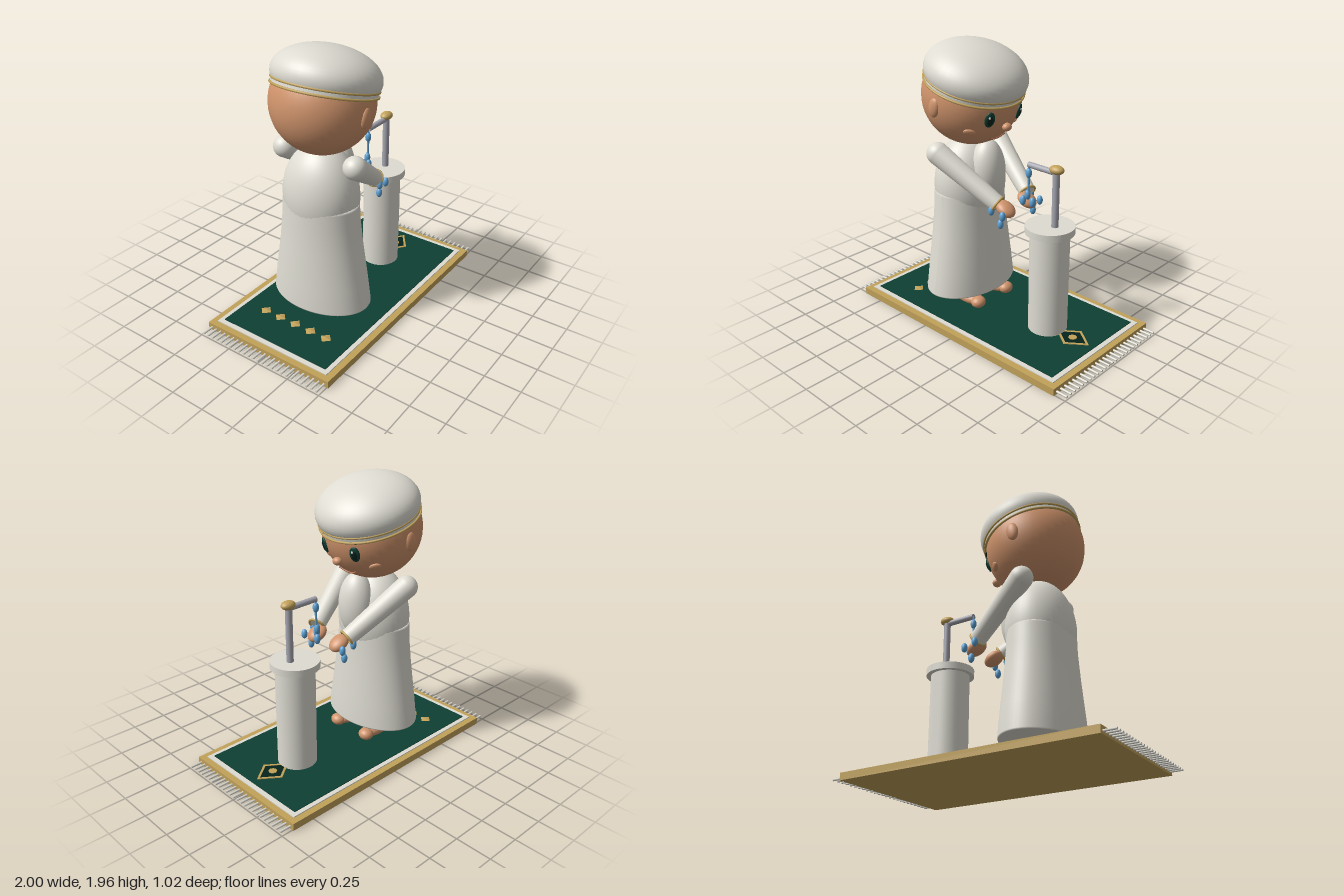
import * as THREE from 'three';

const mat = (name, color, side = THREE.FrontSide) => {
  const m = new THREE.MeshStandardMaterial({ color, side });
  m.name = name;
  return m;
};

export function createModel() {
  const root = new THREE.Group();
  root.name = 'washingScene';
  const cream = mat('cream', 0xdedcd2);
  const skin = mat('skin', 0xd0946c);
  const gold = mat('gold', 0xc2a25a);
  const green = mat('green', 0x0e4034);
  const dark = mat('darkGreen', 0x06231c);
  const steel = mat('steel', 0xa6a6b0);
  const water = mat('water', 0x5fa3d6);
  const lip = mat('lip', 0xb87550);

  const add = (name, geo, m, pos = [0, 0, 0], parent = root) => {
    const mesh = new THREE.Mesh(geo, m);
    mesh.name = name;
    mesh.position.set(...pos);
    parent.add(mesh);
    return mesh;
  };
  const ball = (name, m, pos, [rx, ry, rz], parent = root) => {
    const mesh = add(name, new THREE.SphereGeometry(1, 40, 28), m, pos, parent);
    mesh.scale.set(rx, ry, rz);
    return mesh;
  };
  const Y = new THREE.Vector3(0, 1, 0);
  // Tapered rod from a to b
  const rod = (name, m, a, b, ra, rb = ra, seg = 24) => {
    const p = new THREE.Vector3(...a), q = new THREE.Vector3(...b);
    const d = q.clone().sub(p);
    const mesh = add(name, new THREE.CylinderGeometry(rb, ra, d.length(), seg), m,
      p.clone().add(q).multiplyScalar(0.5).toArray());
    mesh.quaternion.setFromUnitVectors(Y, d.normalize());
    return mesh;
  };

  // Rug: base, border, field and tassels
  add('rugBase', new THREE.BoxGeometry(1.835, 0.05, 1.02), gold, [0, 0.03, 0]);
  add('rugBorder', new THREE.BoxGeometry(1.75, 0.008, 0.93), cream, [0, 0.058, 0]);
  add('rugField', new THREE.BoxGeometry(1.68, 0.008, 0.865), green, [0, 0.063, 0]);
  for (const s of [-1, 1]) for (let i = 0; i < 25; i++) {
    const z = -0.48 + i * 0.04;
    rod('tassel', cream, [s * 0.9, 0.025, z], [s, 0.025, z], 0.008, 0.008, 8);
  }

  // Rug ornaments: row of diamonds and a medallion
  for (let i = 0; i < 5; i++) {
    const d = add('rugDiamond', new THREE.OctahedronGeometry(1), gold, [-0.6, 0.068, -0.264 + i * 0.13]);
    d.scale.set(0.043, 0.008, 0.043);
  }
  const diamond = (rx, rz) => [[rx, 0], [0, rz], [-rx, 0], [0, -rz]].map(p => new THREE.Vector2(...p));
  const frame = new THREE.Shape(diamond(0.135, 0.1));
  frame.holes.push(new THREE.Path(diamond(0.11, 0.08)));
  const flat = (name, shape, m, y) => {
    const g = new THREE.ExtrudeGeometry(shape, { depth: 0.005, bevelEnabled: false });
    add(name, g.rotateX(-Math.PI / 2), m, [0.665, y, 0]);
  };
  flat('medallionFrame', frame, gold, 0.067);
  flat('medallionField', new THREE.Shape(diamond(0.115, 0.084)), dark, 0.065);
  add('medallionCentre', new THREE.CylinderGeometry(0.03, 0.03, 0.006, 8), gold, [0.665, 0.071, 0]);

  // Skirt: flared lathe, narrower from front to back than across
  const profile = [[0, 0.17], [0.365, 0.17], [0.37, 0.18], [0.345, 0.35], [0.305, 0.6],
    [0.28, 0.8], [0.275, 0.905], [0.268, 0.92], [0, 0.92]].map(p => new THREE.Vector2(...p));
  const skirt = new THREE.LatheGeometry(profile, 56);
  const sp = skirt.attributes.position;
  for (let i = 0; i < sp.count; i++) {
    sp.setX(i, sp.getX(i) * (0.69 + 0.11 * (sp.getY(i) - 0.17) / 0.75));
  }
  skirt.computeVertexNormals();
  add('skirt', skirt, cream, [-0.295, 0, 0]);
  ball('torso', cream, [-0.29, 0.95, 0], [0.23, 0.36, 0.27]);
  ball('chestPanel', cream, [-0.12, 1.07, 0], [0.12, 0.23, 0.13]);

  // Arms, hands, feet and drops falling from the hands
  for (const s of [-1, 1]) {
    const shoulder = [-0.31, 1.222, s * 0.282], wrist = [0.115, 0.935, s * 0.15];
    ball('shoulder', cream, shoulder, [0.078, 0.078, 0.078]);
    const sleeve = rod('sleeve', cream, shoulder, wrist, 0.078, 0.058, 32);
    const cuff = add('cuff', new THREE.TorusGeometry(0.057, 0.008, 10, 36).rotateX(Math.PI / 2), gold, wrist);
    cuff.quaternion.copy(sleeve.quaternion);
    const hand = ball('hand', skin, [0.15, 0.897, s * 0.108], [0.075, 0.042, 0.062]);
    hand.rotation.z = -0.5;
    ball('foot', skin, [-0.19, 0.11, s * 0.13], [0.13, 0.045, 0.065]);
    ball('toes', skin, [-0.08, 0.11, s * 0.145], [0.05, 0.042, 0.055]);
    for (const [x, y, z] of [[0.105, 0.9, 0.2], [0.195, 0.88, 0.19], [0.155, 0.805, 0.165]]) {
      ball('handDrop', water, [x, y, s * z], [0.021, 0.034, 0.021]);
    }
  }

  // Head with face
  const H = [-0.26, 1.592, 0], R = 0.343;
  ball('head', skin, H, [R, R, R]);
  // Point on the head for a given height and sideways offset
  const onHead = (y, z, lift = 0) => {
    const v = new THREE.Vector3(Math.sqrt(R * R - (y - H[1]) ** 2 - z * z), y - H[1], z);
    return v.setLength(R + lift).add(new THREE.Vector3(...H));
  };
  const X = new THREE.Vector3(1, 0, 0);
  const onFace = (name, m, y, z, size, lift = 0) => {
    const p = onHead(y, z, lift);
    const b = ball(name, m, p.toArray(), size);
    b.quaternion.setFromUnitVectors(X, p.sub(new THREE.Vector3(...H)).normalize());
  };
  for (const s of [-1, 1]) {
    onFace('eye', green, 1.497, s * 0.14, [0.015, 0.056, 0.036]);
    onFace('pupil', dark, 1.495, s * 0.14, [0.009, 0.036, 0.022], 0.009);
    onFace('eyeGlint', cream, 1.517, s * 0.14 + 0.008, [0.005, 0.009, 0.008], 0.015);
    onFace('eyebrow', dark, 1.578, s * 0.14, [0.01, 0.009, 0.042], 0.003);
    onFace('cheek', skin, 1.41, s * 0.22, [0.014, 0.028, 0.042], 0.003);
    const ear = ball('ear', skin, [-0.275, 1.56, s * 0.335], [0.044, 0.068, 0.026]);
    ear.rotation.z = -0.2;
  }
  ball('nose', skin, [0.06, 1.423, 0], [0.03, 0.028, 0.034]);
  const smile = [-2, -1, 0, 1, 2].map(i => onHead(1.322 + 0.0055 * i * i, i * 0.04, 0.002));
  add('mouth', new THREE.TubeGeometry(new THREE.CatmullRomCurve3(smile), 24, 0.007, 8), lip);

  // Cap, tilted towards the face
  const cap = new THREE.Group();
  cap.name = 'cap';
  cap.position.set(...H);
  cap.rotation.z = -0.28;
  root.add(cap);
  ball('capDome', cream, [0, 0.16, 0], [0.357, 0.2, 0.357], cap);
  add('capBand', new THREE.CylinderGeometry(0.343, 0.341, 0.04, 56), cream, [0, 0.093, 0], cap);
  for (const y of [0.075, 0.11]) {
    add('capTrim', new THREE.TorusGeometry(0.344, 0.008, 10, 64).rotateX(Math.PI / 2), gold, [0, y, 0], cap);
  }

  // Wash stand and tap
  rod('standColumn', cream, [0.445, 0.06, 0], [0.445, 0.79, 0], 0.135, 0.135, 48);
  rod('standTop', cream, [0.445, 0.787, 0], [0.445, 0.836, 0], 0.167, 0.167, 48);
  rod('tapPipe', steel, [0.485, 0.83, 0], [0.485, 1.22, 0], 0.024);
  rod('tapSpout', steel, [0.255, 1.21, 0], [0.485, 1.21, 0], 0.02);
  ball('tapKnob', gold, [0.487, 1.232, 0], [0.053, 0.03, 0.04]);

  // Water stream
  rod('stream', water, [0.257, 1.21, 0], [0.252, 0.97, 0], 0.008, 0.008, 12);
  for (const p of [[0.255, 1.15, 0], [0.247, 0.995, 0], [0.228, 0.957, 0.025], [0.268, 0.935, -0.025]]) {
    ball('streamDrop', water, p, [0.021, 0.036, 0.021]);
  }
  return root;
}
